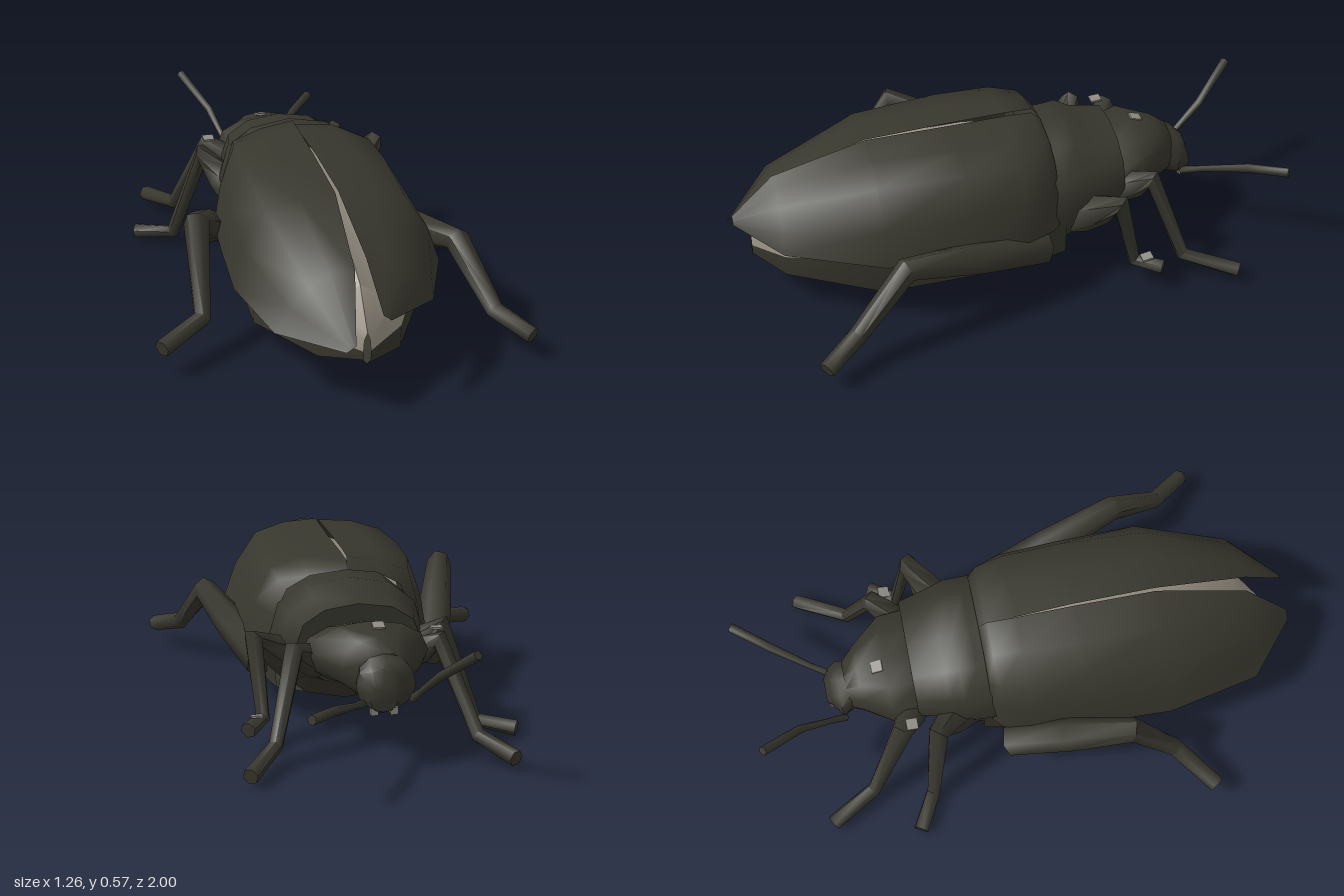
import * as THREE from 'three';
import { toCreasedNormals } from 'three/addons/utils/BufferGeometryUtils.js';

const shellDark = new THREE.MeshStandardMaterial({ color: 0x38372e, side: THREE.DoubleSide });
const abdomenTan = new THREE.MeshStandardMaterial({ color: 0x9c9487, side: THREE.DoubleSide });
const paleGrey = new THREE.MeshStandardMaterial({ color: 0x8f8b84 });

const V = (x, y, z) => new THREE.Vector3(x, y, z);

// Skin a list of equal-length rings; closed rings also get end caps
function loft(rings, closed = true, crease = 0.75) {
  const n = rings[0].length;
  const pos = rings.flat().flatMap((p) => [p.x, p.y, p.z]);
  const idx = [];
  const last = closed ? n : n - 1;
  for (let k = 0; k < rings.length - 1; k++) {
    for (let i = 0; i < last; i++) {
      const j = (i + 1) % n;
      const a = k * n + i, b = k * n + j;
      idx.push(a, b, a + n, b, b + n, a + n);
    }
  }
  if (closed) {
    [0, rings.length - 1].forEach((k) => {
      const c = rings[k].reduce((s, p) => s.add(p), V(0, 0, 0)).divideScalar(n);
      const ci = pos.length / 3;
      pos.push(c.x, c.y, c.z);
      for (let i = 0; i < n; i++) {
        const a = k * n + i, b = k * n + (i + 1) % n;
        if (k === 0) idx.push(ci, b, a);
        else idx.push(ci, a, b);
      }
    });
  }
  const g = new THREE.BufferGeometry();
  g.setAttribute('position', new THREE.Float32BufferAttribute(pos, 3));
  g.setIndex(idx);
  return toCreasedNormals(g, crease);
}

// Rounded body section: [z, centre x, half width, bottom, top]
function bodyRing([z, cx, hw, bottom, top]) {
  const soft = (v) => Math.sign(v) * Math.abs(v) ** 0.9;
  return Array.from({ length: 12 }, (_, i) => {
    const a = (i / 12) * Math.PI * 2;
    return V(cx + hw * soft(Math.cos(a)), (bottom + top) / 2 + ((top - bottom) / 2) * soft(Math.sin(a)), z);
  });
}

// Six-sided tapering limb along joints [x, y, z, radius]
function limb(joints) {
  const p = joints.map(([x, y, z]) => V(x, y, z));
  const m = p.length;
  const ref = p[m - 2].clone().sub(p[0]).cross(p[m - 1].clone().sub(p[m - 2])).normalize();
  const rings = p.map((c, k) => {
    const before = c.clone().sub(p[Math.max(k - 1, 0)]).normalize();
    const after = p[Math.min(k + 1, m - 1)].clone().sub(c).normalize();
    const t = before.add(after).normalize();
    const u = t.clone().cross(ref).normalize();
    const v = t.clone().cross(u);
    return Array.from({ length: 6 }, (_, i) => {
      const a = (i / 6) * Math.PI * 2;
      return c.clone()
        .addScaledVector(u, Math.cos(a) * joints[k][3])
        .addScaledVector(v, Math.sin(a) * joints[k][3]);
    });
  });
  return loft(rings, true, 1.1);
}

export function createModel() {
  const model = new THREE.Group();
  const add = (name, geometry, material = shellDark) => {
    const mesh = new THREE.Mesh(geometry, material);
    mesh.name = name;
    model.add(mesh);
    return mesh;
  };

  // Head, pronotum and thorax, slightly bent to one side
  add('head', loft([
    [-0.695, -0.04, 0.045, 0.21, 0.29], [-0.675, -0.04, 0.065, 0.2, 0.35],
    [-0.645, -0.055, 0.1, 0.2, 0.37], [-0.59, -0.05, 0.08, 0.22, 0.4],
  ].map(bodyRing)));
  add('pronotum', loft([
    [-0.62, -0.05, 0.08, 0.22, 0.39], [-0.57, -0.04, 0.12, 0.22, 0.425],
    [-0.47, -0.03, 0.2, 0.23, 0.45], [-0.35, -0.01, 0.205, 0.2, 0.41],
  ].map(bodyRing), true, 1));
  add('thorax', loft([
    [-0.385, -0.01, 0.215, 0.2, 0.485], [-0.27, -0.005, 0.245, 0.17, 0.5],
    [-0.22, -0.005, 0.26, 0.12, 0.53], [-0.16, -0.002, 0.265, 0.07, 0.525], [-0.06, 0, 0.265, 0.07, 0.52],
  ].map(bodyRing), true, 1));

  // Abdomen: dark keeled belly and pale domed back meeting at the rim
  // [z, half width, rim, side, bottom, top of back]
  const abdomen = [
    [-0.16, 0.25, 0.25, 0.12, 0.07, 0.48], [-0.05, 0.27, 0.245, 0.115, 0.065, 0.5],
    [0.1, 0.29, 0.24, 0.11, 0.06, 0.52], [0.5, 0.29, 0.24, 0.1, 0.05, 0.5],
    [0.82, 0.14, 0.21, 0.13, 0.105, 0.37], [0.92, 0.012, 0.185, 0.155, 0.14, 0.25],
  ];
  add('belly', loft(abdomen.map(([z, w, rim, side, low]) => [
    V(-w, rim, z), V(-w * 0.97, side, z), V(0, low, z), V(w * 0.97, side, z), V(w, rim, z),
  ]), false, 0.9));
  add('abdomenBack', loft(abdomen.slice(1).map(([z, w, rim, , , top]) => [
    V(w, rim, z), V(w * 0.8, rim + (top - rim) * 0.6, z), V(0, top, z),
    V(-w * 0.8, rim + (top - rim) * 0.6, z), V(-w, rim, z),
  ]), false), abdomenTan);

  // Wing cases, each section running from the seam to the outer edge
  const wingCase = (name, sections, reverse) => add(name, loft(sections.map(([z, ...xy]) => {
    const row = xy.map(([x, y]) => V(x, y, z));
    return reverse ? row.reverse() : row;
  }), false, 1.2));
  wingCase('leftWingCase', [
    [-0.13, [-0.01, 0.53], [0.12, 0.515], [0.2, 0.47], [0.24, 0.38], [0.26, 0.25]],
    [-0.1, [-0.015, 0.555], [0.13, 0.54], [0.225, 0.495], [0.265, 0.385], [0.285, 0.25]],
    [0.0, [-0.01, 0.56], [0.135, 0.55], [0.24, 0.515], [0.3, 0.39], [0.33, 0.255]],
    [0.2, [0, 0.56], [0.14, 0.55], [0.245, 0.52], [0.31, 0.39], [0.35, 0.26]],
    [0.5, [0.005, 0.555], [0.13, 0.545], [0.235, 0.51], [0.315, 0.39], [0.358, 0.265]],
    [0.83, [0.015, 0.47], [0.08, 0.455], [0.14, 0.42], [0.195, 0.36], [0.24, 0.295]],
    [0.98, [0.035, 0.34], [0.042, 0.335], [0.05, 0.33], [0.055, 0.325], [0.06, 0.32]],
  ], true);
  wingCase('rightWingCase', [
    [-0.13, [-0.01, 0.53], [-0.12, 0.515], [-0.2, 0.47], [-0.24, 0.38], [-0.26, 0.25]],
    [-0.1, [-0.015, 0.57], [-0.13, 0.55], [-0.235, 0.51], [-0.27, 0.385], [-0.29, 0.24]],
    [0.0, [-0.015, 0.57], [-0.135, 0.555], [-0.25, 0.53], [-0.3, 0.39], [-0.325, 0.24]],
    [0.2, [-0.01, 0.565], [-0.14, 0.555], [-0.25, 0.53], [-0.31, 0.39], [-0.338, 0.24]],
    [0.5, [-0.005, 0.55], [-0.13, 0.54], [-0.24, 0.505], [-0.315, 0.38], [-0.348, 0.235]],
    [0.83, [-0.02, 0.43], [-0.1, 0.425], [-0.17, 0.385], [-0.23, 0.32], [-0.28, 0.235]],
    [0.995, [-0.055, 0.25], [-0.062, 0.245], [-0.07, 0.24], [-0.077, 0.235], [-0.085, 0.23]],
  ], false);

  // Legs: hip, knee, ankle, toe, with a broad thigh
  const leg = (name, radii, hip, knee, ankle, toe) => {
    const thigh = hip.map((v, i) => (v + knee[i]) / 2);
    add(name, limb([hip, thigh, knee, ankle, toe].map((p, i) => [...p, radii[i]])));
  };
  const hind = [0.06, 0.06, 0.044, 0.032, 0.03];
  const middle = [0.075, 0.058, 0.04, 0.026, 0.028];
  const front = [0.055, 0.052, 0.038, 0.026, 0.028];
  leg('leftHindLeg', hind, [0.285, 0.19, -0.07], [0.435, 0.31, 0.45], [0.515, 0.13, 0.64], [0.61, 0.085, 0.765]);
  leg('rightHindLeg', hind, [-0.325, 0.19, -0.08], [-0.44, 0.41, 0.33], [-0.455, 0.14, 0.5], [-0.61, 0.105, 0.62]);
  leg('leftMiddleLeg', middle, [0.18, 0.23, -0.22], [0.34, 0.36, -0.33], [0.32, 0.1, -0.39], [0.38, 0.09, -0.48]);
  leg('rightMiddleLeg', middle, [-0.18, 0.23, -0.21], [-0.31, 0.37, -0.33], [-0.42, 0.045, -0.38], [-0.55, 0.03, -0.45]);
  leg('leftFrontLeg', front, [0.13, 0.28, -0.38], [0.225, 0.36, -0.48], [0.3, 0.07, -0.58], [0.405, 0.04, -0.76]);
  leg('rightFrontLeg', front, [-0.15, 0.28, -0.38], [-0.275, 0.36, -0.45], [-0.38, 0.07, -0.59], [-0.47, 0.045, -0.755]);

  // Antennae
  add('leftAntenna', limb([
    [0.02, 0.23, -0.66, 0.014], [0.06, 0.25, -0.73, 0.011], [0.15, 0.29, -0.87, 0.016], [0.24, 0.31, -0.99, 0.017],
  ]));
  add('rightAntenna', limb([
    [-0.145, 0.23, -0.64, 0.014], [-0.165, 0.28, -0.7, 0.011], [-0.2, 0.36, -0.8, 0.015], [-0.29, 0.47, -0.93, 0.017],
  ]));

  // Small pale jaws and flecks
  [-0.075, -0.01].forEach((x) => {
    const jaw = add('jaw', new THREE.BoxGeometry(0.025, 0.025, 0.03), paleGrey);
    jaw.position.set(x, 0.21, -0.675);
  });
  // [x, y, z, pitch, roll]
  [
    [-0.055, 0.443, -0.5, -0.25, 0], [-0.27, 0.398, -0.415, 0.1, 0],
    [0.345, 0.12, -0.43, 0.2, 0], [-0.17, 0.09, -0.02, 0, -0.165],
  ].forEach(([x, y, z, pitch, roll]) => {
    const fleck = add('paleFleck', new THREE.BoxGeometry(0.04, 0.007, 0.04), paleGrey);
    fleck.position.set(x, y, z);
    fleck.rotation.set(pitch, 0, roll);
  });

  return model;
}
